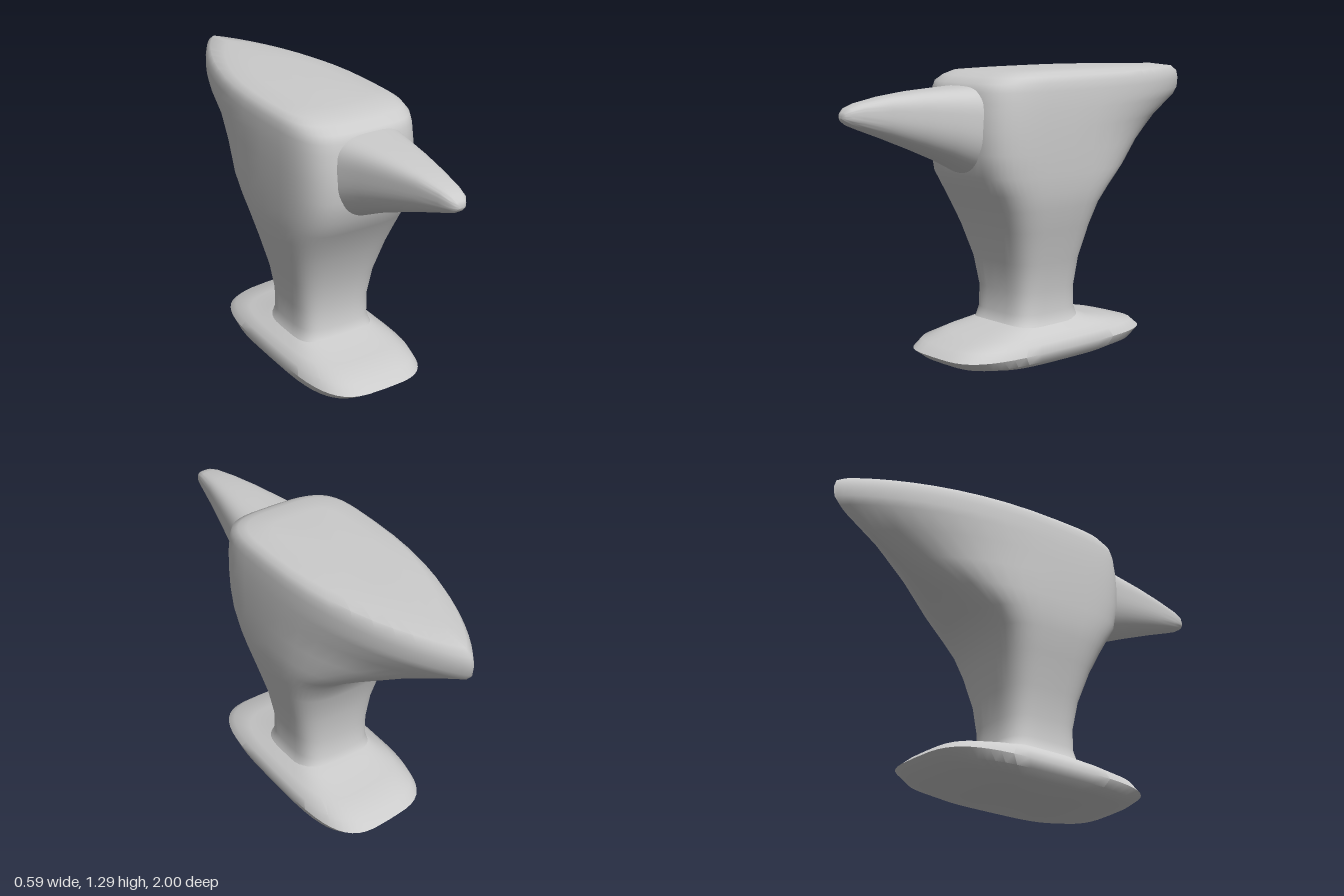
import * as THREE from 'three';
import { toCreasedNormals } from 'three/addons/utils/BufferGeometryUtils.js';

const SEGMENTS = 48;
const material = new THREE.MeshStandardMaterial({ color: 0xcccccc });

// Signed power, used for rounded-rectangle (superellipse) sections
const spow = (v, e) => Math.sign(v) * Math.pow(Math.abs(v) < 1e-9 ? 0 : Math.abs(v), e);

// Build one closed ring by calling point(cos, sin) around the circle
function ring(point) {
  return Array.from({ length: SEGMENTS }, (_, j) => {
    const a = (j / SEGMENTS) * Math.PI * 2;
    return point(Math.cos(a), Math.sin(a));
  });
}

// Skin a list of rings and close both ends with a fan
function loft(name, rings) {
  const positions = [];
  const index = [];
  rings.forEach(r => r.forEach(p => positions.push(...p)));
  const id = (i, j) => i * SEGMENTS + (j % SEGMENTS);
  for (let i = 0; i < rings.length - 1; i++) {
    for (let j = 0; j < SEGMENTS; j++) {
      index.push(id(i, j), id(i + 1, j), id(i, j + 1));
      index.push(id(i, j + 1), id(i + 1, j), id(i + 1, j + 1));
    }
  }
  for (const end of [0, rings.length - 1]) {
    const centre = positions.length / 3;
    const mid = k => rings[end].reduce((s, p) => s + p[k], 0) / SEGMENTS;
    positions.push(mid(0), mid(1), mid(2));
    for (let j = 0; j < SEGMENTS; j++) {
      const a = id(end, j), b = id(end, j + 1);
      if (end === 0) index.push(centre, a, b);
      else index.push(centre, b, a);
    }
  }
  const geometry = new THREE.BufferGeometry();
  geometry.setAttribute('position', new THREE.Float32BufferAttribute(positions, 3));
  geometry.setIndex(index);
  const mesh = new THREE.Mesh(toCreasedNormals(geometry, 0.7), material);
  mesh.name = name;
  return mesh;
}

// Foot: rounded slab, slightly shorter at its back left corner
function createBase() {
  const levels = [ // y, half width, half length
    [0, 0.16, 0.24], [0.01, 0.235, 0.38], [0.035, 0.272, 0.5], [0.075, 0.285, 0.555],
    [0.112, 0.272, 0.51], [0.14, 0.24, 0.38], [0.165, 0.2, 0.24], [0.19, 0.17, 0.17],
  ];
  return loft('base', levels.map(([y, hx, hz]) => ring((c, s) => {
    const x = spow(c, 0.55);
    const skew = s < 0 ? 0.98 + 0.05 * x : 1;
    return [x * hx, y, spow(s, 0.55) * hz * skew];
  })));
}

// Waist, face and heel: horizontal sections whose back grows into a point
function createBody() {
  const levels = [ // y, half width, front z, back reach
    [0.14, 0.215, 0.25, 0.24], [0.175, 0.192, 0.21, 0.19], [0.22, 0.183, 0.195, 0.172],
    [0.32, 0.186, 0.19, 0.168], [0.45, 0.21, 0.21, 0.18], [0.6, 0.25, 0.262, 0.222],
    [0.7, 0.275, 0.31, 0.272], [0.77, 0.287, 0.35, 0.35], [0.85, 0.292, 0.4, 0.48],
    [0.95, 0.296, 0.42, 0.66], [1.05, 0.297, 0.425, 0.83], [1.13, 0.296, 0.42, 0.965],
    [1.165, 0.294, 0.415, 0.995], [1.21, 0.291, 0.41, 1], [1.245, 0.286, 0.395, 0.99],
    [1.27, 0.275, 0.35, 0.95], [1.287, 0.25, 0.3, 0.8], [1.295, 0.16, 0.2, 0.45],
  ];
  return loft('bodyAndHeel', levels.map(([y, hx, front, back]) => {
    const t = THREE.MathUtils.smoothstep(back, 0.2, 0.8);
    const n = THREE.MathUtils.lerp(3.2, 1.12, t);
    const p = THREE.MathUtils.lerp(3.6, 2.2, t);
    return ring((c, s) => s >= 0
      ? [spow(c, 0.5) * hx, y, spow(s, 0.5) * front]
      : [spow(c, 2 / n) * hx, y, spow(s, 2 / p) * back]);
  }));
}

// Horn: flat-topped, round-bellied taper towards the front
function createHorn() {
  const stations = [ // z, half width, top y, bottom y
    [0.2, 0.2, 1.24, 0.79], [0.34, 0.195, 1.236, 0.83], [0.42, 0.17, 1.232, 0.87],
    [0.52, 0.145, 1.228, 0.92], [0.65, 0.115, 1.222, 0.975], [0.8, 0.08, 1.208, 1.035],
    [0.92, 0.055, 1.188, 1.08], [0.97, 0.042, 1.172, 1.1], [0.992, 0.026, 1.155, 1.115],
    [1, 0.01, 1.14, 1.128],
  ];
  return loft('horn', stations.map(([z, hw, top, bottom]) => {
    const mid = THREE.MathUtils.lerp(bottom, top, 0.55);
    return ring((c, s) => s >= 0
      ? [-spow(c, 0.6) * hw, mid + spow(s, 0.6) * (top - mid), z]
      : [-spow(c, 0.9) * hw, mid + spow(s, 0.9) * (mid - bottom), z]);
  }));
}

export function createModel() {
  const group = new THREE.Group();
  group.name = 'anvil';
  group.add(createBase(), createBody(), createHorn());
  return group;
}
